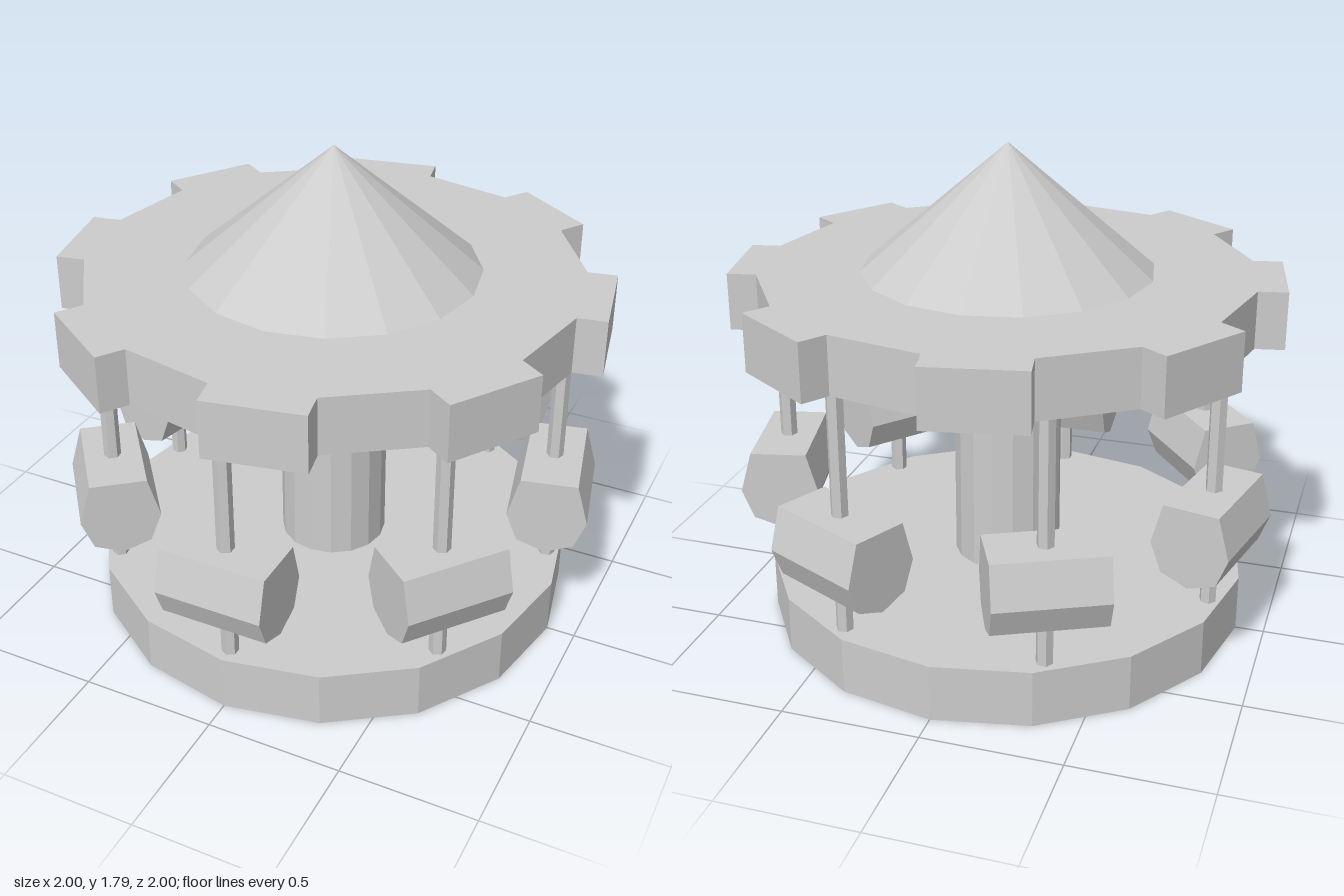
import * as THREE from 'three';

const SIDES = 16;
const SEATS = 7;
const DISC_R = 0.895;
const COLUMN_R = 0.199;
const CONE_R = 0.53;
const CONE_H = 0.457;
const SEAT_RING_R = 0.833;
const BASE_TOP = 0.21;
const ROOF_BOTTOM = 1.12;
const ROOF_TOP = 1.33;

// Corner k of a regular polygon, in the ground plane
function corner(k, r) {
  const a = (k / SIDES) * Math.PI * 2;
  return new THREE.Vector2(Math.cos(a) * r, Math.sin(a) * r);
}

function ring(r) {
  return Array.from({ length: SIDES }, (_, k) => corner(k, r));
}

// Flat sheet over a ground plan (x, z), with a round hole in the middle
function sheet(plan, holeR, y) {
  const shape = new THREE.Shape(plan);
  shape.holes.push(new THREE.Path(ring(holeR)));
  const geo = new THREE.ShapeGeometry(shape);
  geo.rotateX(Math.PI / 2);
  geo.translate(0, y, 0);
  return geo;
}

// Upright wall following a ground plan
function wall(plan, bottom, top) {
  const positions = [];
  plan.forEach((p, i) => {
    const q = plan[(i + 1) % plan.length];
    positions.push(
      p.x, bottom, p.y, p.x, top, p.y, q.x, top, q.y,
      p.x, bottom, p.y, q.x, top, q.y, q.x, bottom, q.y
    );
  });
  const geo = new THREE.BufferGeometry();
  geo.setAttribute('position', new THREE.Float32BufferAttribute(positions, 3));
  geo.computeVertexNormals();
  return geo;
}

// Polygon whose every second side is pushed straight outwards as a tooth
function roofPlan() {
  const points = [];
  for (let k = 0; k < SIDES; k++) {
    const p = corner(k, DISC_R);
    points.push(p);
    if (k % 2 === 1) {
      const push = corner(k + 0.5, 0.106);
      points.push(p.clone().add(push), corner(k + 1, DISC_R).add(push));
    }
  }
  return points;
}

export function createModel() {
  const grey = new THREE.MeshStandardMaterial({ color: 0xcccccc, flatShading: true, side: THREE.DoubleSide });
  grey.name = 'light grey';

  const model = new THREE.Group();
  model.name = 'carousel';

  const add = (parent, name, geometry) => {
    const mesh = new THREE.Mesh(geometry, grey);
    mesh.name = name;
    parent.add(mesh);
    return mesh;
  };

  // Base: a floor and a rim, open underneath
  const basePlan = ring(DISC_R);
  add(model, 'baseFloor', sheet(basePlan, COLUMN_R, BASE_TOP));
  add(model, 'baseRim', wall(basePlan, 0, BASE_TOP));

  // Hollow central column
  add(model, 'column', wall(ring(COLUMN_R), BASE_TOP, ROOF_BOTTOM));

  // Toothed roof and pointed top
  const teeth = roofPlan();
  add(model, 'roofUnderside', sheet(teeth, COLUMN_R, ROOF_BOTTOM));
  add(model, 'roofRim', wall(teeth, ROOF_BOTTOM, ROOF_TOP));
  add(model, 'roofDeck', sheet(teeth, CONE_R, ROOF_TOP));
  const coneGeo = new THREE.ConeGeometry(CONE_R, CONE_H, SIDES, 1, true);
  add(model, 'roofCone', coneGeo).position.y = ROOF_TOP + CONE_H / 2;

  // Seat section: round-bottomed, flat on top
  const seatPlan = new THREE.Shape(
    [[0, 0.355], [0.103, 0.393], [0.145, 0.5], [0.103, 0.653], [-0.103, 0.653], [-0.145, 0.5], [-0.103, 0.393]]
      .map(([x, y]) => new THREE.Vector2(x, y))
  );
  const seatLength = 0.4;
  const seatGeo = new THREE.ExtrudeGeometry(seatPlan, { depth: seatLength, bevelEnabled: false });
  seatGeo.translate(0, 0, -seatLength / 2);
  seatGeo.rotateY(Math.PI / 2);

  // Six-sided poles stand between base and roof
  const poleGeo = new THREE.CylinderGeometry(0.031, 0.031, ROOF_BOTTOM - BASE_TOP, 6, 1, true);
  poleGeo.translate(0, (ROOF_BOTTOM + BASE_TOP) / 2, 0);

  // Seven seats on poles, evenly spaced around the column
  for (let i = 0; i < SEATS; i++) {
    const arm = new THREE.Group();
    arm.name = 'seatOnPole';
    arm.rotation.y = (i / SEATS) * Math.PI * 2;
    add(arm, 'seat', seatGeo).position.z = SEAT_RING_R;
    add(arm, 'pole', poleGeo).position.z = SEAT_RING_R;
    model.add(arm);
  }

  return model;
}
